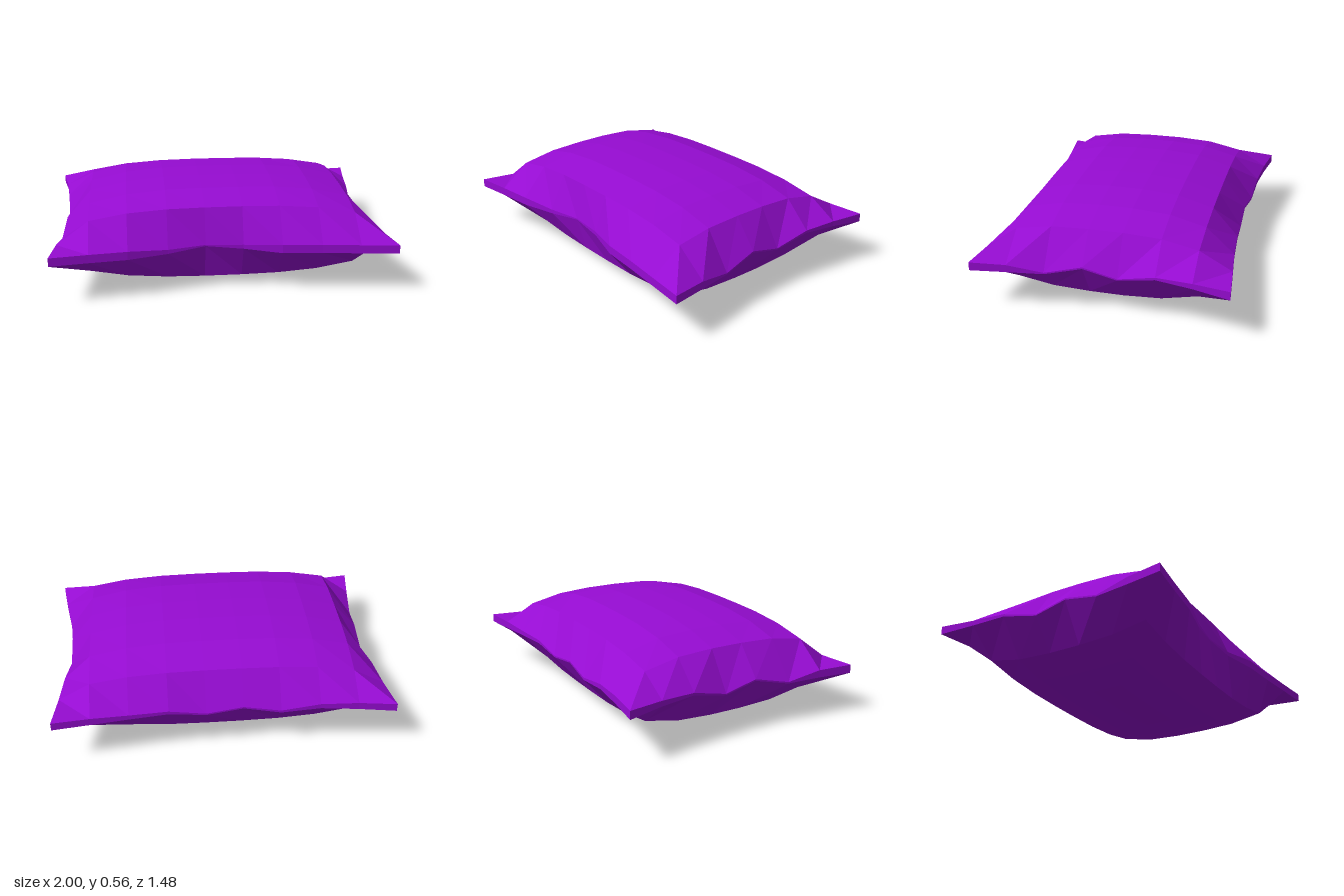
import * as THREE from 'three';

// Grid lines of the cushion panels
const X = [-1, -0.78, -0.56, -0.33, -0.11, 0.11, 0.33, 0.56, 0.78, 1];
const Z = [-0.74, -0.53, -0.32, -0.1, 0.1, 0.32, 0.53, 0.74];

// Puckered outline: distance of each edge from the middle
const FRONT = [0.74, 0.71, 0.685, 0.63, 0.592, 0.61, 0.67, 0.69, 0.715, 0.74];
const BACK = [0.74, 0.71, 0.69, 0.68, 0.665, 0.67, 0.68, 0.695, 0.718, 0.74];
const LEFT = [1, 0.965, 0.94, 0.915, 0.915, 0.935, 0.97, 1];
const RIGHT = [1, 0.965, 0.945, 0.93, 0.93, 0.95, 0.97, 1];

// Seam heights [lower, upper] along the edges
const FRONT_Y = [[0.25, 0.3], [0.25, 0.3], [0.25, 0.3], [0.255, 0.28], [0.28, 0.287],
  [0.262, 0.287], [0.25, 0.3], [0.25, 0.3], [0.25, 0.3], [0.25, 0.3]];
const BACK_Y = [[0.27, 0.32], [0.275, 0.32], [0.28, 0.31], [0.255, 0.27], [0.29, 0.3],
  [0.26, 0.27], [0.29, 0.31], [0.28, 0.31], [0.275, 0.32], [0.27, 0.32]];
const SIDE_Y = [[0.27, 0.32], [0.288, 0.32], [0.3, 0.315], [0.252, 0.26], [0.298, 0.308],
  [0.246, 0.255], [0.25, 0.295], [0.25, 0.3]];

// Fullness across each direction
const FX = [0, 0.72, 0.9, 0.98, 1, 1, 0.98, 0.9, 0.72, 0];
const FZ = [0, 0.72, 0.94, 1, 1, 0.955, 0.775, 0];

// Point of the upper (side 1) or lower (side 0) panel
function point(i, j, side) {
  const nx = X.length - 1, nz = Z.length - 1;
  let x = X[i], z = Z[j], y;
  if (i === 0) x = -RIGHT[j];
  if (i === nx) x = LEFT[j];
  if (j === 0) z = -BACK[i];
  if (j === nz) z = FRONT[i];
  if (j === 0) y = BACK_Y[i][side];
  else if (j === nz) y = FRONT_Y[i][side];
  else if (i === 0 || i === nx) y = SIDE_Y[j][side];
  else y = 0.28 + (side ? 0.278 : -0.277) * FX[i] * FZ[j];
  return [x, y, z];
}

function meshFromQuads(name, quads, material) {
  const pos = [];
  for (const [a, b, c, d] of quads) pos.push(...a, ...b, ...c, ...a, ...c, ...d);
  const geometry = new THREE.BufferGeometry();
  geometry.setAttribute('position', new THREE.Float32BufferAttribute(pos, 3));
  geometry.computeVertexNormals(); // unshared corners keep the facets flat
  const mesh = new THREE.Mesh(geometry, material);
  mesh.name = name;
  return mesh;
}

function panel(side) {
  const quads = [];
  for (let j = 0; j < Z.length - 1; j++) {
    for (let i = 0; i < X.length - 1; i++) {
      const q = [point(i, j, side), point(i, j + 1, side), point(i + 1, j + 1, side), point(i + 1, j, side)];
      quads.push(side ? q : q.reverse());
    }
  }
  return quads;
}

// Narrow band joining both panels around the outline
function seam() {
  const nx = X.length - 1, nz = Z.length - 1, loop = [];
  for (let i = 0; i < nx; i++) loop.push([i, nz]);
  for (let j = nz; j > 0; j--) loop.push([nx, j]);
  for (let i = nx; i > 0; i--) loop.push([i, 0]);
  for (let j = 0; j < nz; j++) loop.push([0, j]);
  return loop.map(([i, j], k) => {
    const [m, n] = loop[(k + 1) % loop.length];
    return [point(i, j, 0), point(m, n, 0), point(m, n, 1), point(i, j, 1)];
  });
}

export function createModel() {
  const fabric = new THREE.MeshStandardMaterial({ color: 0x960cd2 });
  fabric.name = 'purple fabric';
  const group = new THREE.Group();
  group.name = 'cushion';
  group.add(
    meshFromQuads('topPanel', panel(1), fabric),
    meshFromQuads('bottomPanel', panel(0), fabric),
    meshFromQuads('seamBand', seam(), fabric)
  );
  return group;
}
